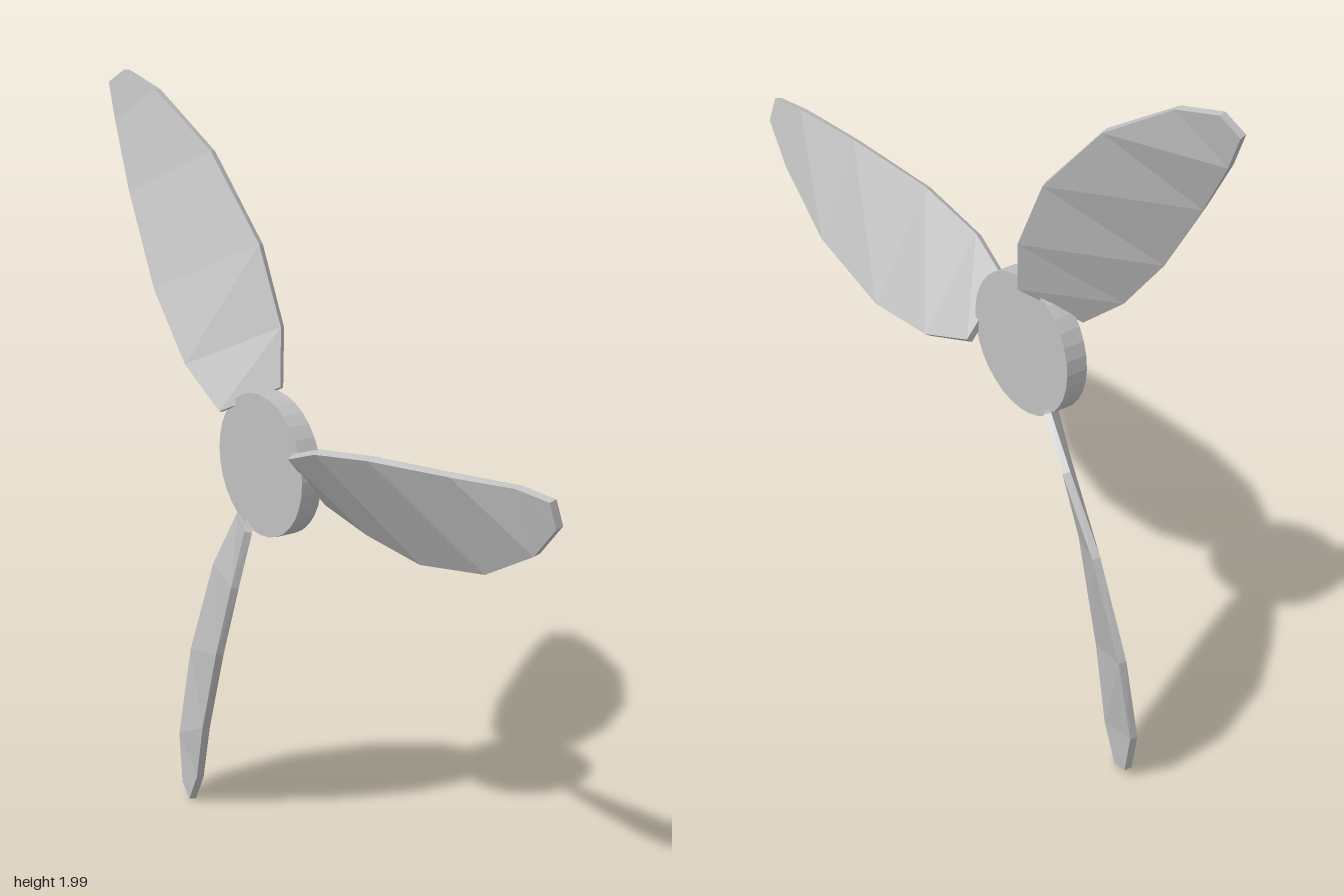
import * as THREE from 'three';

const grey = new THREE.MeshStandardMaterial({ color: 0xc0c0c0, flatShading: true });
grey.name = 'light grey';

const THICKNESS = 0.02;

// Blade stations from root to tip: [x, y, z] of the leading and trailing edge
const STATIONS = [
  [[0.17, 0.065, 0.06], [0.175, -0.075, -0.05]],
  [[0.32, 0.12, 0.085], [0.32, -0.12, -0.075]],
  [[0.54, 0.16, 0.085], [0.54, -0.135, -0.075]],
  [[0.82, 0.187, 0.055], [0.82, -0.075, -0.055]],
  [[1.02, 0.206, 0.022], [1.04, 0.04, -0.02]],
  [[1.128, 0.2, 0.01], [1.135, 0.135, -0.006]],
];

// Twisted slab lofted through four-cornered cross-sections
function bladeGeometry() {
  const positions = [];
  const index = [];
  for (const [lead, trail] of STATIONS) {
    const dy = lead[1] - trail[1];
    const dz = lead[2] - trail[2];
    const chord = Math.hypot(dy, dz);
    const oy = (dz / chord) * THICKNESS;
    const oz = (-dy / chord) * THICKNESS;
    positions.push(
      ...trail, ...lead,
      lead[0], lead[1] + oy, lead[2] + oz,
      trail[0], trail[1] + oy, trail[2] + oz,
    );
  }
  const last = (STATIONS.length - 1) * 4;
  for (let i = 0; i < last; i += 4) {
    for (let j = 0; j < 4; j++) {
      const a = i + j;
      const b = i + ((j + 1) % 4);
      index.push(a, a + 4, b, a + 4, b + 4, b);
    }
  }
  // Root and tip caps
  index.push(0, 1, 2, 0, 2, 3);
  index.push(last, last + 2, last + 1, last, last + 3, last + 2);

  const geometry = new THREE.BufferGeometry();
  geometry.setAttribute('position', new THREE.Float32BufferAttribute(positions, 3));
  geometry.setIndex(index);
  const flat = geometry.toNonIndexed();
  flat.computeVertexNormals();
  return flat;
}

export function createModel() {
  const model = new THREE.Group();
  model.name = 'propeller';

  const rotor = new THREE.Group();
  rotor.name = 'rotor';
  rotor.position.set(-0.2, 1.083, 0);
  model.add(rotor);

  // Flat disc hub facing forward
  const hub = new THREE.Mesh(new THREE.CylinderGeometry(0.188, 0.188, 0.06, 32), grey);
  hub.name = 'hub';
  hub.rotation.x = Math.PI / 2;
  rotor.add(hub);

  // Three blades at even angles
  const geometry = bladeGeometry();
  for (let i = 0; i < 3; i++) {
    const blade = new THREE.Mesh(geometry, grey);
    blade.name = `blade${i + 1}`;
    blade.rotation.z = (i * Math.PI * 2) / 3;
    rotor.add(blade);
  }
  return model;
}
